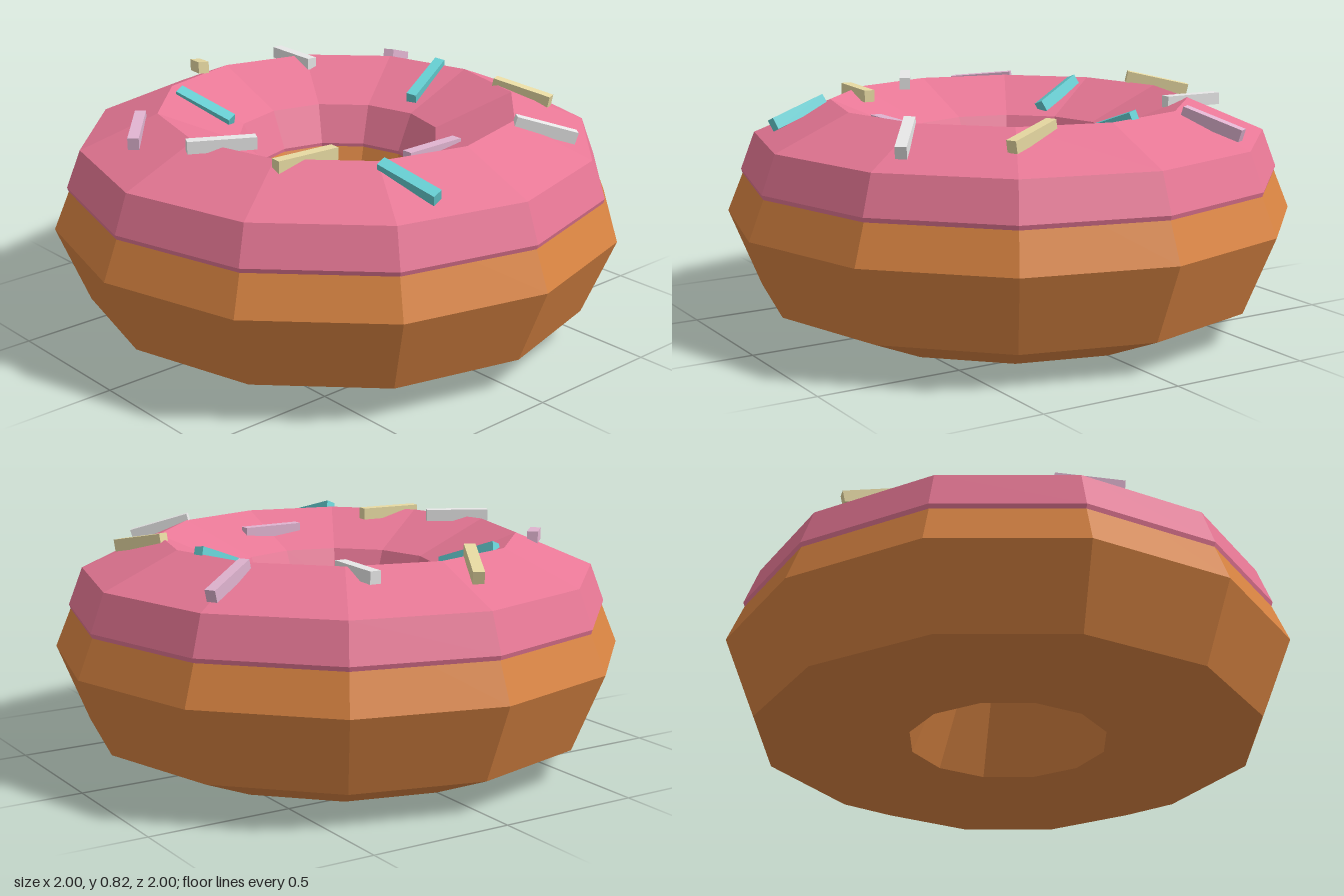
import * as THREE from 'three';

const flat = (name, color) => {
  const m = new THREE.MeshStandardMaterial({ color, flatShading: true });
  m.name = name;
  return m;
};

// Closed profile of [radius, height] points spun into a 12-sided ring
function ring(name, profile, material) {
  const points = [...profile, profile[0]].map(([r, y]) => new THREE.Vector2(r, y));
  const mesh = new THREE.Mesh(new THREE.LatheGeometry(points, 12), material);
  mesh.name = name;
  return mesh;
}

export function createModel() {
  const group = new THREE.Group();
  group.name = 'donut';

  const dough = flat('dough brown', 0xd98442);
  const icing = flat('icing pink', 0xe87896);
  const white = flat('sprinkle white', 0xeeeeee);
  const cream = flat('sprinkle cream', 0xf2e4aa);
  const teal = flat('sprinkle teal', 0x66d0d4);
  const lilac = flat('sprinkle lilac', 0xe0b4d0);

  // Dough: eight-sided tube
  const tube = [];
  for (let i = 0; i < 8; i++) {
    const a = -Math.PI / 2 + i * Math.PI / 4;
    tube.push([0.62 + 0.38 * Math.cos(a), 0.385 + 0.385 * Math.sin(a)]);
  }
  group.add(ring('dough', tube, dough));

  // Icing cap with a small lip
  group.add(ring('icing', [
    [0.943, 0.513], [0.95, 0.535], [0.90, 0.667], [0.63, 0.782],
    [0.355, 0.667], [0.295, 0.535], [0.298, 0.513],
  ], icing));

  // Sprinkles: material, one end, other end, roll about the length
  const sprinkles = [
    [cream, [-0.13, 0.803, -0.60], [-0.02, 0.752, -0.80], 0],
    [white, [0.285, 0.768, -0.47], [0.295, 0.768, -0.69], 0],
    [lilac, [0.56, 0.78, -0.34], [0.74, 0.715, -0.445], 0],
    [teal, [0.395, 0.705, -0.04], [0.605, 0.787, -0.105], 0.15],
    [cream, [0.58, 0.785, 0.20], [0.66, 0.743, 0.40], 0],
    [white, [0.30, 0.785, 0.56], [0.47, 0.722, 0.685], 0],
    [lilac, [-0.115, 0.727, 0.47], [0.115, 0.727, 0.47], 0],
    [teal, [-0.325, 0.777, 0.57], [-0.28, 0.715, 0.78], 0.4],
    [cream, [-0.575, 0.775, 0.355], [-0.345, 0.775, 0.375], 0],
    [white, [-0.69, 0.787, 0.045], [-0.49, 0.787, 0.155], 0],
    [lilac, [-0.735, 0.745, -0.19], [-0.58, 0.768, -0.365], 0],
    [teal, [-0.325, 0.772, -0.49], [-0.245, 0.695, -0.29], 0.4],
  ];
  const sprinkleGroup = new THREE.Group();
  sprinkleGroup.name = 'sprinkles';
  sprinkles.forEach(([material, from, to, roll], i) => {
    const a = new THREE.Vector3(...from);
    const b = new THREE.Vector3(...to);
    const mesh = new THREE.Mesh(new THREE.BoxGeometry(0.038, 0.042, a.distanceTo(b)), material);
    mesh.name = `sprinkle${i + 1}`;
    mesh.position.copy(a).lerp(b, 0.5);
    mesh.lookAt(b);
    mesh.rotateZ(roll);
    sprinkleGroup.add(mesh);
  });
  group.add(sprinkleGroup);

  return group;
}
